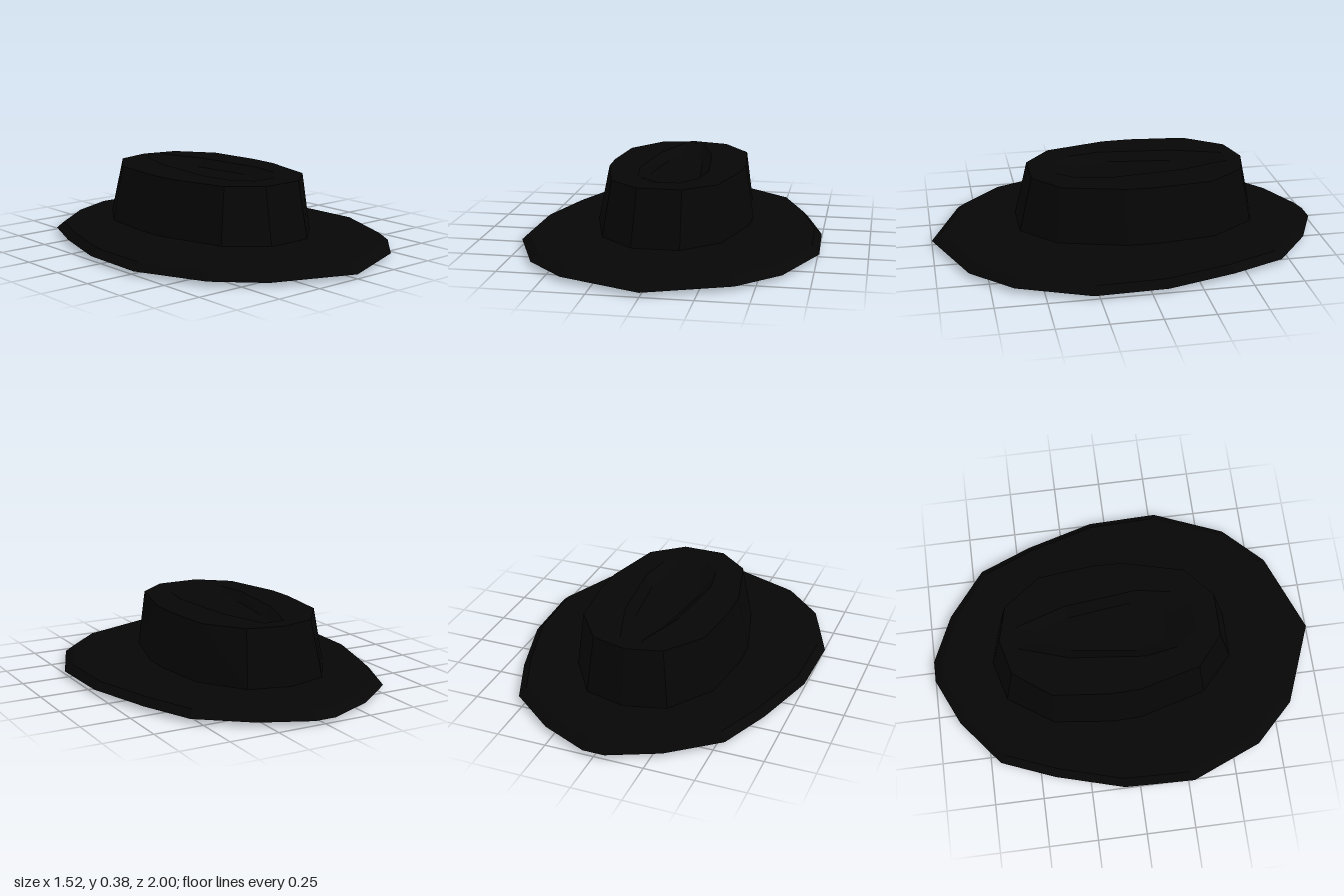
import * as THREE from 'three';

const CENTRE_Z = -0.08;

// Closed mirrored loop at height y from half an outline, [x, z] front to back
function loop(half, y, scale = 1, shiftX = 0) {
  const mirrored = half.filter(p => p[0] > 0).reverse().map(([x, z]) => [-x, z]);
  return [...half, ...mirrored].map(([x, z]) => new THREE.Vector3(
    x * scale + shiftX, y, CENTRE_Z + (z - CENTRE_Z) * scale));
}

// Angle of a loop point, running on past a full turn when the index wraps
function angle(ring, i) {
  const p = ring[i % ring.length];
  const a = Math.atan2(p.x - ring.shiftX, p.z - CENTRE_Z);
  const positive = a < -1e-6 ? a + Math.PI * 2 : a;
  return positive + (i >= ring.length ? Math.PI * 2 : 0);
}

// Band of triangles joining two loops that may differ in point count
function stitch(a, b) {
  const tris = [];
  let i = 0, j = 0;
  while (i < a.length || j < b.length) {
    const p = a[i % a.length], q = b[j % b.length];
    const stepA = j >= b.length || (i < a.length && angle(a, i + 1) <= angle(b, j + 1));
    if (stepA) tris.push(p, a[++i % a.length], q);
    else tris.push(p, b[++j % b.length], q);
  }
  return tris;
}

// Fan closing a loop, facing up or down
function cap(ring, up) {
  const c = new THREE.Vector3(0, ring[0].y, CENTRE_Z);
  return ring.flatMap((p, i) => {
    const q = ring[(i + 1) % ring.length];
    return up ? [p, q, c] : [q, p, c];
  });
}

export function createModel() {
  const hat = new THREE.Group();
  hat.name = 'hat';
  const blackFelt = new THREE.MeshStandardMaterial({ color: 0x060606 });
  blackFelt.name = 'black felt';

  // Unshared corners give flat facets
  function add(name, ...bands) {
    const geometry = new THREE.BufferGeometry().setFromPoints(bands.flat());
    geometry.computeVertexNormals();
    const mesh = new THREE.Mesh(geometry, blackFelt);
    mesh.name = name;
    hat.add(mesh);
  }

  // Loop that remembers its sideways shift for angle sorting
  function ring(half, y, scale = 1, shiftX = 0) {
    return Object.assign(loop(half, y, scale, shiftX), { shiftX });
  }

  // Half outlines
  const brimHalf = [[0, 1], [0.41, 0.84], [0.61, 0.64], [0.76, 0.28], [0.75, -0.08],
    [0.65, -0.43], [0.54, -0.7], [0.3, -0.89], [0.055, -1]];
  const crownBaseHalf = [[0.12, 0.555], [0.3, 0.39], [0.395, 0.05], [0.4, -0.1],
    [0.365, -0.4], [0.21, -0.63], [0, -0.685]];
  const crownTopHalf = [[0.11, 0.49], [0.265, 0.36], [0.345, 0.05], [0.35, -0.1],
    [0.32, -0.39], [0.18, -0.58], [0, -0.625]];
  const creaseHalf = [[0.07, 0.37], [0.15, 0.27], [0.18, 0.1], [0.14, -0.28], [0.055, -0.54]];
  const creaseFloorHalf = [[0.05, 0.22], [0.1, 0.18], [0.13, 0.06], [0.09, -0.26], [0.035, -0.42]];
  const openingHalf = [[0, 0.42], [0.23, 0.28], [0.3, -0.05], [0.24, -0.35], [0.15, -0.45]];

  // Loops from the inside of the crown, round the brim and up to the crease
  const ceiling = ring(openingHalf, 0.25, 0.8);
  const opening = ring(openingHalf, 0);
  const edge = ring(brimHalf, 0.022);
  const lip = ring(brimHalf, 0.057, 0.95);
  const crownBase = ring(crownBaseHalf, 0.09, 1, -0.012);
  const crownTop = ring(crownTopHalf, 0.374, 1, -0.003);
  const crease = ring(creaseHalf, 0.378);
  const creaseFloor = ring(creaseFloorHalf, 0.34);

  add('headOpening', cap(ceiling, false), stitch(ceiling, opening));
  add('brim', stitch(opening, edge), stitch(edge, lip), stitch(lip, crownBase));
  add('crown', stitch(crownBase, crownTop), stitch(crownTop, crease));
  add('crownCrease', stitch(crease, creaseFloor), cap(creaseFloor, true));
  return hat;
}
